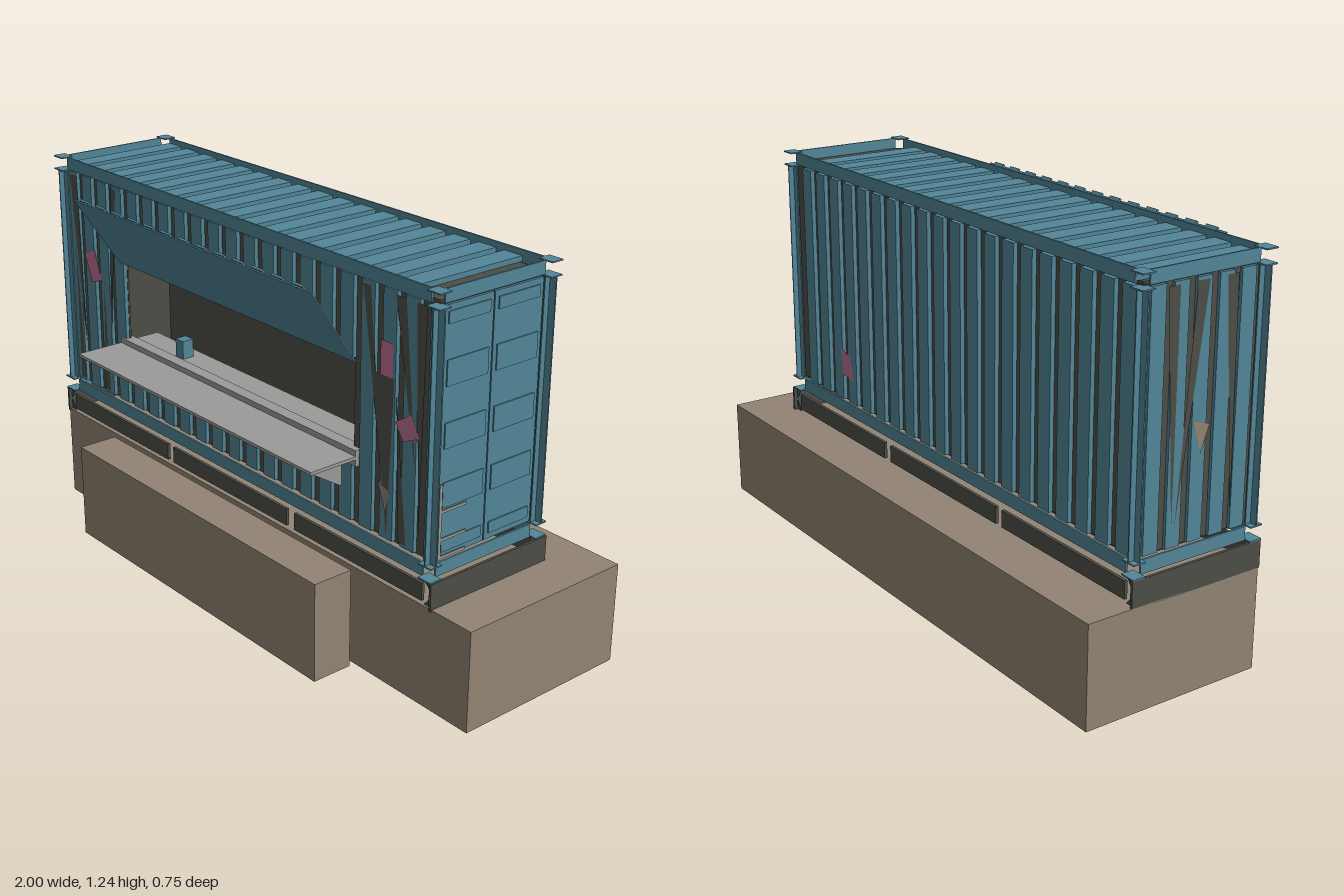
import * as THREE from 'three';

const mat = (name, color, side = THREE.FrontSide) => {
  const m = new THREE.MeshStandardMaterial({ color, side });
  m.name = name;
  return m;
};

export function createModel() {
  const root = new THREE.Group();
  root.name = 'containerKiosk';
  const blue = mat('containerBlue', 0x528698, THREE.DoubleSide);
  const dark = mat('darkLining', 0x4e4e48, THREE.DoubleSide);
  const brown = mat('plinthBrown', 0x928474, THREE.DoubleSide);
  const grey = mat('counterGrey', 0x9a9a98, THREE.DoubleSide);
  const pink = mat('paintPink', 0xbc6f92, THREE.DoubleSide);

  const group = (name) => {
    const g = new THREE.Group();
    g.name = name;
    root.add(g);
    return g;
  };
  // box given by its min and max on each axis
  const box = (parent, name, m, x0, x1, y0, y1, z0, z1) => {
    const mesh = new THREE.Mesh(new THREE.BoxGeometry(x1 - x0, y1 - y0, z1 - z0), m);
    mesh.position.set((x0 + x1) / 2, (y0 + y1) / 2, (z0 + z1) / 2);
    mesh.name = name;
    parent.add(mesh);
    return mesh;
  };
  const shapeOf = (pts) => new THREE.Shape(pts.map(([x, y]) => new THREE.Vector2(x, y)));
  // flat painted patch in the local xy plane
  const patch = (parent, name, m, pts, z = 0) => {
    const mesh = new THREE.Mesh(new THREE.ShapeGeometry(shapeOf(pts)), m);
    mesh.position.z = z;
    mesh.name = name;
    parent.add(mesh);
    return mesh;
  };

  // plinth and front step
  box(root, 'plinth', brown, -1, 1, 0, 0.32, -0.38, 0.22);
  box(root, 'frontStep', brown, -0.685, 0.535, 0, 0.32, 0.24, 0.375);

  // skid: split side channels and flared end plates
  const skid = group('skid');
  for (const z of [0.213, -0.223]) {
    for (const [a, b] of [[-0.96, -0.4], [-0.37, 0.215], [0.25, 0.805]]) {
      box(skid, 'sideChannel', dark, a, b, 0.33, 0.385, z - 0.005, z + 0.005);
    }
    for (const [xo, xi] of [[-0.998, -0.96], [0.848, 0.805]]) {
      patch(skid, 'upperGusset', dark, [[xo, 0.4], [xi, 0.4], [xo, 0.35]], z);
      patch(skid, 'lowerGusset', dark, [[xo, 0.315], [xi, 0.315], [xo, 0.365]], z);
    }
  }
  box(skid, 'endPlate', dark, -1, -0.992, 0.315, 0.4, -0.235, 0.225);
  box(skid, 'endPlate', dark, 0.84, 0.848, 0.315, 0.4, -0.235, 0.225);

  // dark lining, with the serving opening cut in the front
  const lining = group('lining');
  box(lining, 'floor', dark, -0.965, 0.81, 0.445, 0.452, -0.2, 0.19);
  box(lining, 'ceiling', dark, -0.965, 0.81, 1.195, 1.202, -0.2, 0.19);
  box(lining, 'backWall', dark, -0.965, 0.81, 0.45, 1.195, -0.203, -0.198);
  box(lining, 'endWall', dark, -0.968, -0.962, 0.45, 1.195, -0.2, 0.19);
  box(lining, 'endWall', dark, 0.806, 0.812, 0.45, 1.195, -0.2, 0.19);
  const wall = shapeOf([[-0.965, 0.45], [0.81, 0.45], [0.81, 1.195], [-0.965, 1.195]]);
  wall.holes.push(new THREE.Path(
    [[-0.64, 0.67], [-0.64, 0.935], [0.485, 0.935], [0.485, 0.67]].map(([x, y]) => new THREE.Vector2(x, y))));
  const front = new THREE.Mesh(new THREE.ExtrudeGeometry(wall, { depth: 0.006, bevelEnabled: false }), dark);
  front.name = 'frontWall';
  front.position.z = 0.184;
  lining.add(front);

  // corrugation ribs
  const ribs = group('ribs');
  const pitch = 0.087;
  for (let i = 0; i < 20; i++) {
    const x = -0.93 + i * pitch, a = x - 0.027, b = x + 0.027;
    box(ribs, 'backRib', blue, a, b, 0.45, 1.19, -0.217, -0.203);
    if (x > -0.66 && x < 0.51) {
      box(ribs, 'lowerFrontRib', blue, a, b, 0.45, 0.64, 0.19, 0.203);
      box(ribs, 'upperFrontRib', blue, a, b, 0.95, 1.19, 0.19, 0.203);
    } else {
      box(ribs, 'frontRib', blue, a, b, 0.45, 1.19, 0.19, 0.203);
    }
  }
  for (let i = 0; i < 17; i++) {
    const x = -0.915 + i * 0.1;
    box(ribs, 'roofPanel', blue, x - 0.034, x + 0.034, 1.202, 1.218, -0.214, 0.2);
  }
  for (let i = 0; i < 5; i++) {
    const z = -0.16 + i * 0.077;
    box(ribs, 'endRib', blue, -0.978, -0.968, 0.45, 1.19, z - 0.025, z + 0.025);
  }

  // frame: rails, crossed corner posts and corner plates
  const frame = group('frame');
  for (const [y0, y1] of [[0.4, 0.442], [1.195, 1.235]]) {
    for (const z of [0.205, -0.212]) box(frame, 'sideRail', blue, -0.948, 0.795, y0, y1, z - 0.003, z + 0.003);
    for (const x of [-0.975, 0.82]) box(frame, 'endRail', blue, x - 0.003, x + 0.003, y0, y1, -0.19, 0.185);
  }
  for (const x of [-0.975, 0.82]) {
    for (const z of [0.205, -0.212]) {
      box(frame, 'postPlate', blue, x - 0.025, x + 0.025, 0.445, 1.19, z - 0.002, z + 0.002);
      box(frame, 'postPlate', blue, x - 0.002, x + 0.002, 0.445, 1.19, z - 0.02, z + 0.02);
      for (const y of [0.402, 0.445, 1.19, 1.233]) {
        box(frame, 'cornerPlate', blue, x - 0.025, x + 0.025, y - 0.002, y + 0.002, z - 0.021, z + 0.021);
      }
    }
  }

  // double doors with pressed panels
  const doors = group('doors');
  for (const [z0, z1] of [[0.002, 0.183], [-0.188, -0.002]]) {
    box(doors, 'door', blue, 0.812, 0.82, 0.452, 1.188, z0, z1);
    for (const [y0, y1] of [[0.47, 0.505], [0.605, 0.68], [0.78, 0.855], [0.96, 1.035], [1.135, 1.17]]) {
      box(doors, 'doorPanel', blue, 0.82, 0.824, y0, y1, z0 + 0.014, z1 - 0.014);
    }
  }
  box(doors, 'shelfUpright', grey, 0.824, 0.828, 0.45, 0.68, 0.174, 0.184);
  for (const y of [0.458, 0.512, 0.597]) box(doors, 'shelfEdge', grey, 0.824, 0.828, y - 0.004, y + 0.004, 0.08, 0.174);

  // serving counter, inner sill and brackets
  const counter = group('counter');
  box(counter, 'counterTop', grey, -0.665, 0.515, 0.652, 0.662, 0.2, 0.375);
  box(counter, 'sill', grey, -0.665, 0.515, 0.63, 0.68, 0.17, 0.21);
  box(counter, 'innerShelf', grey, -0.64, 0.485, 0.66, 0.675, 0.08, 0.17);
  for (const x of [-0.6, -0.075, 0.45]) {
    const b = patch(counter, 'bracket', grey, [[-0.375, 0.652], [-0.205, 0.545], [-0.205, 0.652]]);
    b.rotation.y = Math.PI / 2;
    b.position.x = x;
  }
  box(counter, 'cup', blue, -0.42, -0.38, 0.675, 0.735, 0.12, 0.16);

  // raised hatch, hinged above the opening and leaning outwards
  const hatch = group('hatch');
  hatch.position.set(-0.075, 0.945, 0.208);
  hatch.rotation.x = Math.atan2(0.162, 0.24);
  box(hatch, 'hatchPanel', blue, -0.58, 0.58, 0, 0.285, -0.002, 0.002);
  for (let i = 0; i < 13; i++) {
    const x = (i - 6) * pitch;
    box(hatch, 'hatchRib', blue, x - 0.024, x + 0.024, 0.02, 0.29, -0.009, -0.002);
  }

  // painted patches on front, back and plain end
  const paint = group('paint');
  const wedges = [
    [[-0.94, 1.18], [-0.9, 1.18], [-0.885, 0.6]], [[-0.93, 0.46], [-0.9, 0.46], [-0.925, 0.95]],
    [[-0.7, 1.18], [-0.67, 1.18], [-0.735, 0.6]], [[-0.78, 0.46], [-0.75, 0.46], [-0.76, 0.85]],
    [[0.53, 1.18], [0.56, 1.18], [0.62, 0.6]], [[0.58, 0.94], [0.66, 0.94], [0.64, 0.46]],
    [[0.66, 1.18], [0.7, 1.18], [0.75, 0.7]], [[0.69, 0.46], [0.72, 0.46], [0.67, 0.9]],
    [[0.74, 1.18], [0.78, 1.18], [0.77, 0.5]],
  ];
  for (const w of wedges) patch(paint, 'darkWedge', dark, w, 0.2045);
  patch(paint, 'pinkPatch', pink, [[-0.87, 0.92], [-0.81, 0.95], [-0.77, 0.85], [-0.83, 0.83]], 0.206);
  patch(paint, 'pinkPatch', pink, [[0.605, 0.94], [0.655, 0.94], [0.655, 1.04], [0.605, 1.04]], 0.206);
  patch(paint, 'pinkPatch', pink, [[0.67, 0.82], [0.73, 0.86], [0.765, 0.8], [0.7, 0.77]], 0.206);
  patch(paint, 'brownPatch', brown, [[0.6, 0.62], [0.655, 0.6], [0.635, 0.54]], 0.206);
  patch(paint, 'backPinkPatch', pink, [[-0.53, 0.63], [-0.47, 0.61], [-0.45, 0.53], [-0.52, 0.54]], -0.2185).rotation.y = Math.PI;
  const end = new THREE.Group();
  end.name = 'endPaint';
  end.rotation.y = -Math.PI / 2;
  end.position.x = -0.9795;
  paint.add(end);
  for (const [x, d] of [[-0.13, 0.04], [-0.03, -0.05], [0.07, 0.05]]) {
    patch(end, 'darkWedge', dark, [[x, 1.18], [x + 0.04, 1.18], [x + d, 0.5]]);
  }
  patch(end, 'brownPatch', brown, [[-0.03, 0.8], [0.03, 0.78], [0, 0.7]], 0.001);

  return root;
}
